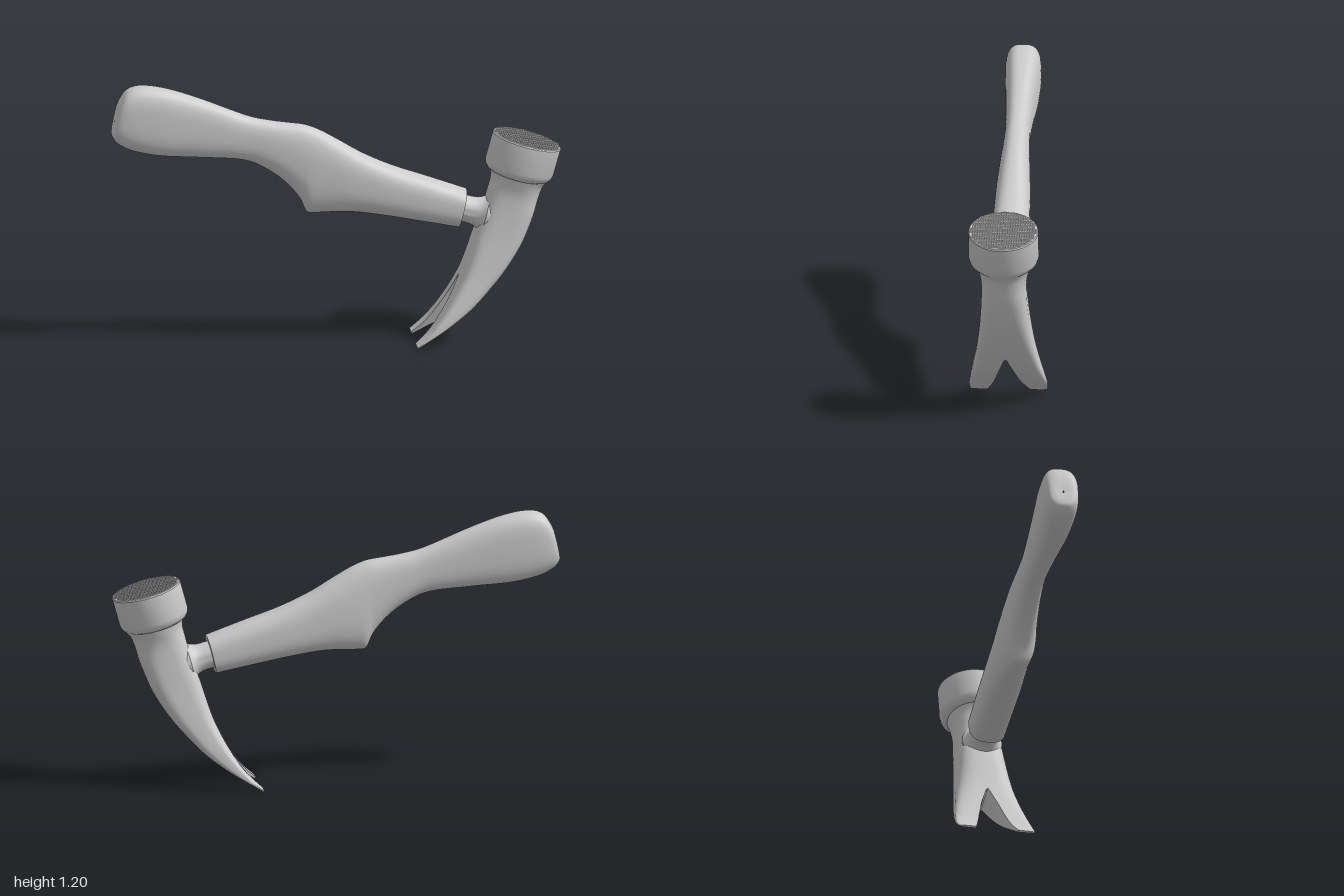
import * as THREE from 'three';
import { mergeGeometries, toCreasedNormals } from 'three/addons/utils/BufferGeometryUtils.js';

const material = new THREE.MeshStandardMaterial({ color: 0xcccccc });
const TILT = -0.27; // lean of the head in the xy plane

function part(name, geometry) {
  const mesh = new THREE.Mesh(geometry, material);
  mesh.name = name;
  return mesh;
}

// Catmull-Rom through the rows of a section table, every column on its own
function refine(rows, steps) {
  const out = [];
  const at = (i) => rows[Math.min(Math.max(i, 0), rows.length - 1)];
  for (let i = 0; i < rows.length - 1; i++) {
    for (let s = 0; s < steps; s++) {
      const t = s / steps;
      out.push(rows[i].map((p1, k) => {
        const p0 = at(i - 1)[k], p2 = at(i + 1)[k], p3 = at(i + 2)[k];
        const m1 = (p2 - p0) / 2, m2 = (p3 - p1) / 2;
        return p1 + m1 * t + (3 * (p2 - p1) - 2 * m1 - m2) * t * t
          + (2 * (p1 - p2) + m1 + m2) * t * t * t;
      }));
    }
  }
  out.push(rows[rows.length - 1]);
  return out;
}

// Superellipse point of a section [topX, topY, bottomX, bottomY, halfWidth, power, slit]
function sectionPoint([tx, ty, bx, by, hw, power, slit = 0], a, side = 1) {
  const bend = (v) => Math.abs(v) < 1e-9 ? 0 : Math.sign(v) * Math.abs(v) ** (2 / power);
  const v = bend(Math.sin(a)) / 2;
  return new THREE.Vector3(
    (tx + bx) / 2 + (tx - bx) * v,
    (ty + by) / 2 + (ty - by) * v,
    side * (slit + (hw - slit) * bend(Math.cos(a))));
}

// Skin over rings of points
function skin(rings, closed = false, flip = false) {
  const n = rings[0].length, index = [];
  const tri = (a, b, c) => flip ? index.push(a, c, b) : index.push(a, b, c);
  for (let i = 0; i < rings.length - 1; i++) {
    for (let j = 0; j < (closed ? n : n - 1); j++) {
      const k = (j + 1) % n, a = i * n, b = a + n;
      tri(a + j, b + j, a + k);
      tri(b + j, b + k, a + k);
    }
  }
  const g = new THREE.BufferGeometry().setFromPoints(rings.flat());
  g.setIndex(index);
  g.computeVertexNormals();
  return g;
}

// Flat cap on the last ring
function endCap(ring, flip = false) {
  const centre = ring.reduce((s, p) => s.add(p), new THREE.Vector3()).divideScalar(ring.length);
  const index = [];
  ring.forEach((_, j) => {
    const a = j + 1, b = (j + 1) % ring.length + 1;
    flip ? index.push(0, a, b) : index.push(0, b, a);
  });
  const g = new THREE.BufferGeometry().setFromPoints([centre, ...ring]);
  g.setIndex(index);
  g.computeVertexNormals();
  return g;
}

function lathe(points, segments = 64) {
  const g = new THREE.LatheGeometry(points.map(([r, y]) => new THREE.Vector2(r, y)), segments);
  return toCreasedNormals(g, 0.6);
}

// Contoured grip, from the butt to the collar
function makeHandle() {
  const rows = refine([
    [-0.985, 1.05, -0.988, 1.04, 0.002, 2.4],
    [-0.975, 1.10, -0.999, 0.99, 0.045, 2.6],
    [-0.96, 1.14, -0.994, 0.965, 0.066, 2.8],
    [-0.925, 1.183, -0.965, 0.935, 0.077, 2.9],
    [-0.86, 1.198, -0.90, 0.905, 0.08, 2.9],
    [-0.75, 1.18, -0.78, 0.88, 0.076, 2.9],
    [-0.60, 1.13, -0.61, 0.867, 0.065, 2.7],
    [-0.40, 1.05, -0.42, 0.85, 0.056, 2.5],
    [-0.30, 1.025, -0.32, 0.81, 0.058, 2.5],
    [-0.22, 1.012, -0.23, 0.745, 0.063, 2.5],
    [-0.15, 1.002, -0.165, 0.67, 0.068, 2.5],
    [-0.11, 0.99, -0.135, 0.607, 0.072, 2.5],
    [-0.06, 0.967, -0.10, 0.598, 0.075, 2.5],
    [0.02, 0.92, 0.01, 0.60, 0.079, 2.5],
    [0.12, 0.86, 0.10, 0.595, 0.081, 2.6],
    [0.25, 0.80, 0.23, 0.575, 0.084, 2.6],
    [0.40, 0.747, 0.37, 0.548, 0.084, 2.6],
    [0.58, 0.682, 0.54, 0.515, 0.083, 2.6],
  ], 5);
  const rings = rows.map((r) =>
    Array.from({ length: 48 }, (_, j) => sectionPoint(r, j / 48 * Math.PI * 2)));
  return mergeGeometries([skin(rings, true), endCap(rings[rings.length - 1])]);
}

// One half of the neck and claw; the slit column parts the two prongs
function makeClawHalf(side) {
  const rows = refine([
    [0.955, 0.722, 0.68, 0.795, 0.126, 2, 0],
    [0.92, 0.69, 0.688, 0.745, 0.114, 2.1, 0],
    [0.897, 0.635, 0.676, 0.69, 0.102, 2.5, 0],
    [0.87, 0.55, 0.652, 0.60, 0.102, 3.2, 0],
    [0.82, 0.435, 0.61, 0.485, 0.11, 3.6, 0],
    [0.752, 0.33, 0.575, 0.375, 0.123, 3.8, 0],
    [0.685, 0.25, 0.545, 0.295, 0.135, 4, 0],
    [0.595, 0.16, 0.50, 0.205, 0.152, 4, 0.032],
    [0.50, 0.09, 0.45, 0.125, 0.166, 4, 0.055],
    [0.42, 0.042, 0.40, 0.06, 0.174, 4, 0.075],
    [0.348, 0, 0.343, 0.007, 0.171, 4, 0.095],
  ], 6);
  // the slit starts blunt
  rows.forEach((r) => { r[6] = r[6] > 1e-6 ? r[6] + 0.006 * (1 - r[6] / 0.095) : 0; });
  const flip = side < 0, m = 24;
  const rings = rows.map((r) => Array.from({ length: m + 1 },
    (_, j) => sectionPoint(r, (j / m - 0.5) * Math.PI, side)));

  // keep the shading continuous across the middle plane
  const shell = skin(rings, false, flip);
  const { position, normal } = shell.attributes;
  for (let i = 0; i < position.count; i++) {
    if (Math.abs(position.getZ(i)) > 1e-6) continue;
    const nrm = new THREE.Vector3(normal.getX(i), normal.getY(i), 0).normalize();
    normal.setXYZ(i, nrm.x, nrm.y, 0);
  }
  const first = rows.findIndex((r) => r[6] > 0) - 1;
  const wall = skin(rings.slice(first).map((r) => [r[m], r[0]]), false, flip);
  return mergeGeometries([shell, wall, endCap(rings[rings.length - 1], flip)]);
}

// Waffled striking face made of tiny pyramids
function makeWaffle(radius, pitch) {
  const bumps = [];
  const n = Math.floor(radius / pitch);
  for (let i = -n; i <= n; i++) {
    for (let j = -n; j <= n; j++) {
      if (Math.hypot(i, j) * pitch > radius - pitch / 2) continue;
      const g = new THREE.ConeGeometry(pitch * 0.7, 0.004, 4, 1, true).toNonIndexed();
      g.rotateY(Math.PI / 4);
      g.translate(i * pitch, 0.002, j * pitch);
      g.computeVertexNormals();
      bumps.push(g);
    }
  }
  return mergeGeometries(bumps);
}

export function createModel() {
  const model = new THREE.Group();
  model.name = 'clawHammer';
  model.add(part('handle', makeHandle()));

  // Shaft flaring into the head
  const shaft = part('shaft', lathe([
    [0.062, -0.04], [0.06, 0.03], [0.062, 0.055], [0.068, 0.075], [0.078, 0.09], [0.09, 0.1], [0.09, 0.13],
  ], 40));
  shaft.position.set(0.56, 0.598, 0);
  shaft.rotation.z = TILT - Math.PI / 2;
  model.add(shaft);

  // Striking head
  const head = new THREE.Group();
  head.name = 'strikingHead';
  head.position.set(0.85, 0.906, 0);
  head.rotation.z = TILT;
  head.add(part('poll', lathe([
    [0.09, -0.17], [0.128, -0.168], [0.141, -0.161], [0.151, -0.148], [0.156, -0.13],
    [0.156, -0.005], [0.152, 0], [0, 0],
  ])));
  head.add(part('strikingFace', makeWaffle(0.15, 0.011)));
  model.add(head);

  // Neck and split claw
  const claw = new THREE.Group();
  claw.name = 'claw';
  claw.add(part('clawLeft', makeClawHalf(1)), part('clawRight', makeClawHalf(-1)));
  model.add(claw);
  return model;
}
